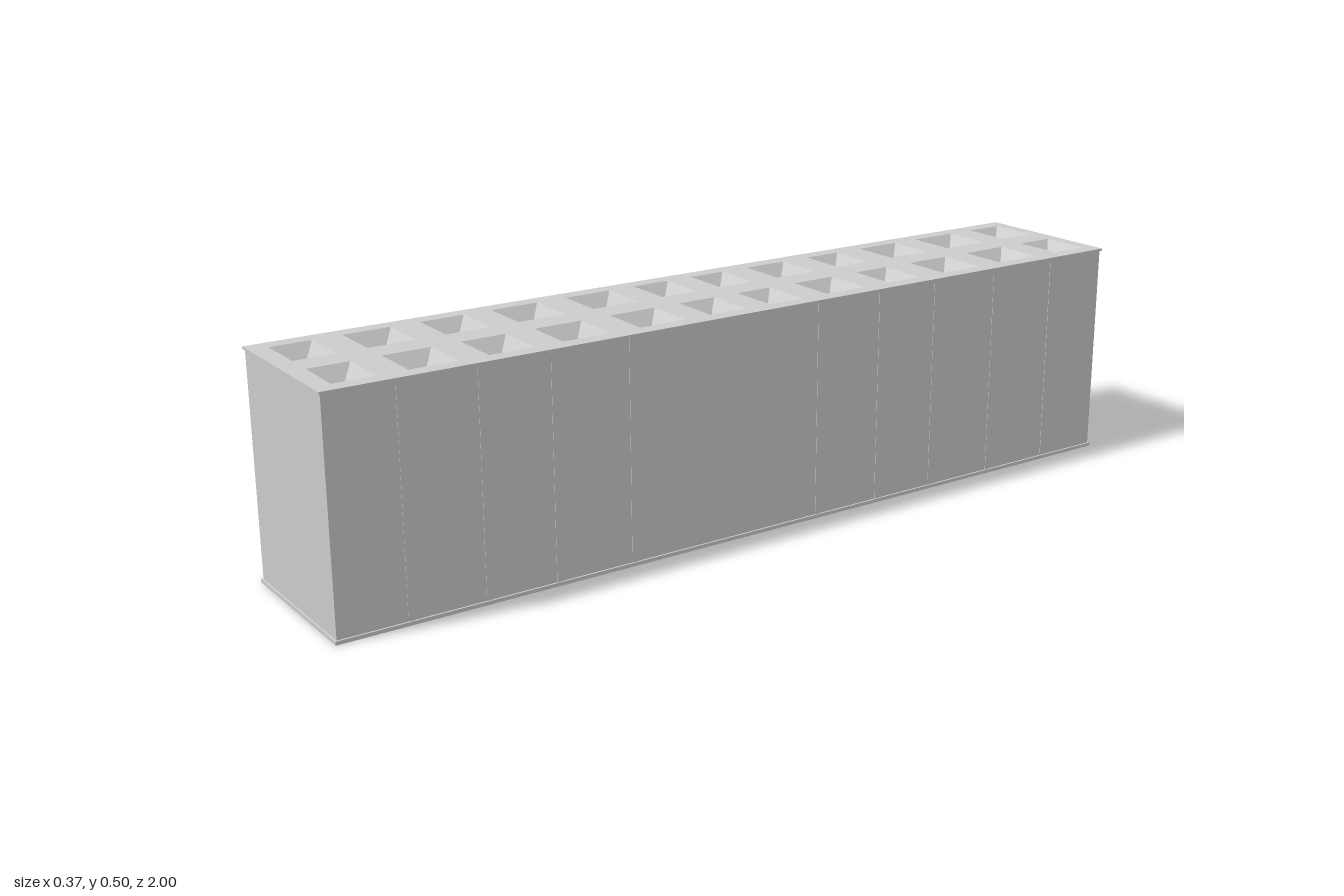
import * as THREE from 'three';

const material = new THREE.MeshStandardMaterial({ color: 0xcccccc, flatShading: true });

// Front-to-back extent of each pair of pockets
const pocketRows = [
  [-0.97, -0.88], [-0.815, -0.70], [-0.635, -0.525], [-0.455, -0.365],
  [-0.295, -0.19], [-0.122, -0.035], [0.027, 0.117], [0.18, 0.29],
  [0.36, 0.47], [0.535, 0.635], [0.70, 0.805], [0.87, 0.96],
];
const TOP = 0.498, DEPTH = 0.04, INSET = 0.03;

function rectangle(PathType, x0, x1, z0, z1) {
  return new PathType([[x0, z0], [x1, z0], [x1, z1], [x0, z1]].map(([x, z]) => new THREE.Vector2(x, -z)));
}

// Extrudes a plan drawn in x and z upward
function slab(shape, y, height) {
  const geometry = new THREE.ExtrudeGeometry(shape, { depth: height, bevelEnabled: false });
  return geometry.rotateX(-Math.PI / 2).translate(0, y, 0);
}

// Tapered recess: four sloping walls and a small flat floor
function pocketGeometry(x0, x1, z0, z1) {
  const ring = (inset, y) => [
    [x0 + inset, y, z1 - inset], [x1 - inset, y, z1 - inset],
    [x1 - inset, y, z0 + inset], [x0 + inset, y, z0 + inset],
  ];
  const rim = ring(0, TOP), floor = ring(INSET, TOP - DEPTH);
  const points = [];
  const quad = (a, b, c, d) => points.push(...a, ...b, ...c, ...a, ...c, ...d);
  for (let i = 0; i < 4; i++) {
    const j = (i + 1) % 4;
    quad(rim[i], rim[j], floor[j], floor[i]);
  }
  quad(...floor);
  const geometry = new THREE.BufferGeometry();
  geometry.setAttribute('position', new THREE.Float32BufferAttribute(points, 3));
  geometry.computeVertexNormals();
  return geometry;
}

export function createModel() {
  const model = new THREE.Group();
  const add = (geometry, name) => {
    const mesh = new THREE.Mesh(geometry, material);
    mesh.name = name;
    model.add(mesh);
  };

  // Hollow body walls, slightly inside the plates
  const walls = rectangle(THREE.Shape, -0.179, 0.179, -0.996, 0.996);
  walls.holes.push(rectangle(THREE.Path, -0.17, 0.17, -0.987, 0.987));
  add(slab(walls, 0.004, 0.49), 'bodyWalls');

  // Base plate with a narrow lip
  add(slab(rectangle(THREE.Shape, -0.183, 0.183, -1, 1), 0, 0.008), 'basePlate');

  // Top plate, pierced by two columns of tapered pockets
  const plate = rectangle(THREE.Shape, -0.183, 0.183, -1, 1);
  for (const [z0, z1] of pocketRows) {
    for (const side of [-1, 1]) {
      const x0 = side * 0.09 - 0.058, x1 = side * 0.09 + 0.058;
      plate.holes.push(rectangle(THREE.Path, x0, x1, z0, z1));
      add(pocketGeometry(x0, x1, z0, z1), 'pocket');
    }
  }
  add(slab(plate, TOP - 0.005, 0.005), 'topPlate');

  // Faint upright ribs on the long sides
  for (const z of [0.84, 0.67, 0.51, 0.33, -0.15, -0.32, -0.48, -0.66, -0.84]) {
    for (const side of [-1, 1]) {
      add(new THREE.BoxGeometry(0.004, 0.485, 0.015).translate(side * 0.178, 0.25, z), 'sideRib');
    }
  }
  return model;
}
